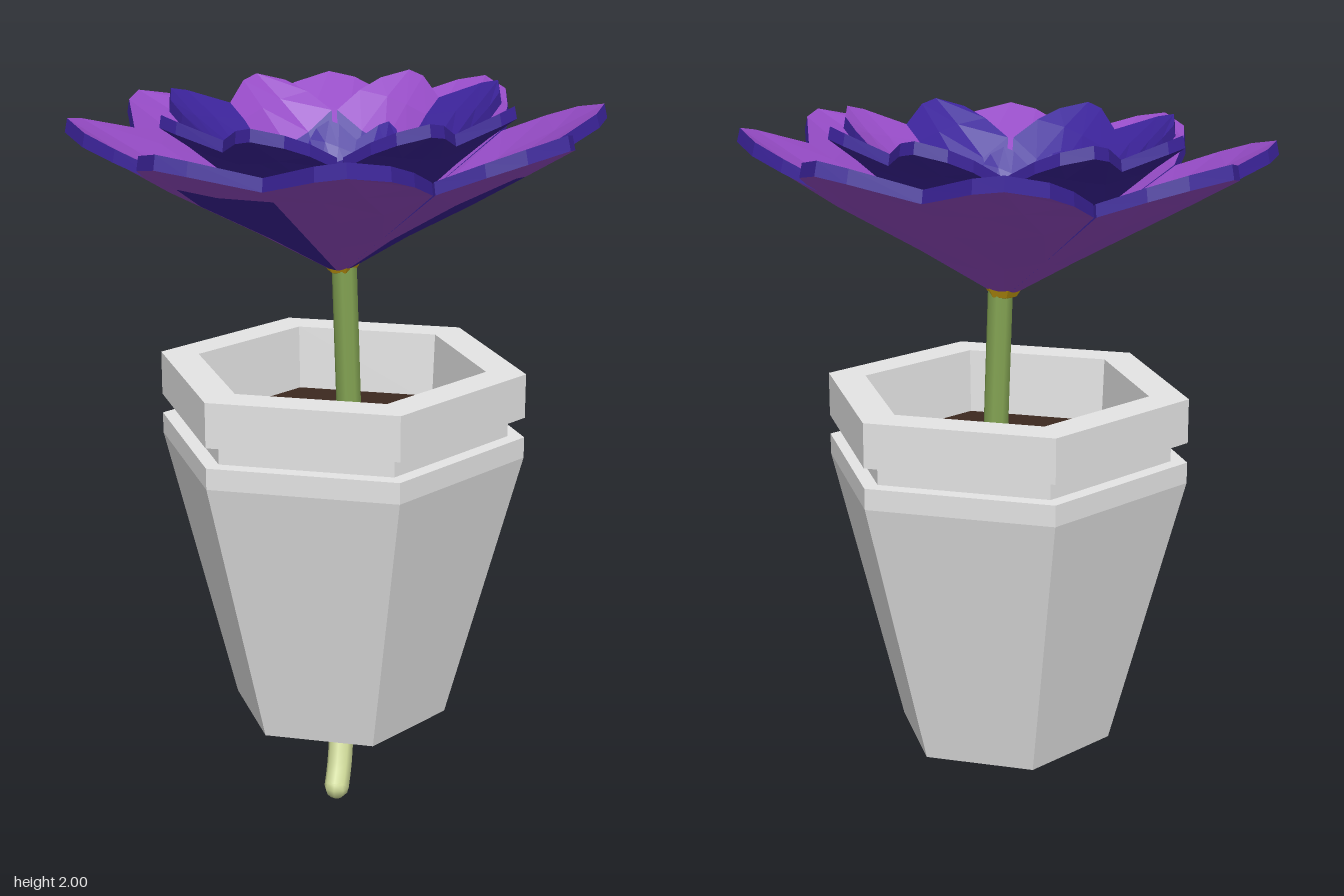
import * as THREE from 'three';

const mat = (name, color, side = THREE.FrontSide) => {
  const m = new THREE.MeshStandardMaterial({ color, side });
  m.name = name;
  return m;
};

// Split shared vertices so every facet has its own normal
function faceted(geometry) {
  const g = geometry.index ? geometry.toNonIndexed() : geometry;
  g.computeVertexNormals();
  return g;
}

function part(parent, name, geometry, material) {
  const mesh = new THREE.Mesh(geometry, material);
  mesh.name = name;
  parent.add(mesh);
  return mesh;
}

// Half outline of a heart-shaped petal, rows from base to tip: [outward, sideways]
const HALF_ROWS = [
  [[0.03, 0], [0.03, 0.01], [0.03, 0.02], [0.025, 0.03]],
  [[0.20, 0], [0.20, 0.07], [0.19, 0.13], [0.18, 0.18]],
  [[0.41, 0], [0.41, 0.13], [0.40, 0.25], [0.38, 0.375]],
  [[0.53, 0], [0.56, 0.14], [0.56, 0.25], [0.51, 0.365]],
  [[0.61, 0], [0.695, 0.165], [0.70, 0.25], [0.61, 0.335]],
];

// Two-lobed petal, steep at first and flatter at the tips.
// Groups: 0 body, 1 purple lobe tips, 2 indigo rim and underside patch
function petalGeometry({ scale, width, baseY, slope, tipSlope }, [tipNeg, tipPos], patched) {
  const bend = 0.56 * scale;
  const point = ([out, side], r, c) => {
    const dish = r > 1 && r < 4 && (c === 1 || c === 2) ? 0.015 * scale : 0;
    const rho = Math.hypot(out, side) * scale;
    const y = baseY + slope * Math.min(rho, bend) + tipSlope * Math.max(rho - bend, 0);
    return [side * scale * width, y - dish, out * scale];
  };
  const top = HALF_ROWS.map((row, r) => [
    ...row.slice(1).map(([o, s], i) => point([o, -s], r, i + 1)).reverse(),
    ...row.map((p, i) => point(p, r, i)),
  ]);
  // Underside, thicker towards the tip
  const drop = ([x, y, z]) => [x * 1.012, y - 0.02 - 0.025 * Math.hypot(x, z), z * 1.012];
  const faces = [[], [], []];
  const quad = (group, a, b, c, d) => faces[group].push(...a, ...b, ...c, ...a, ...c, ...d);

  const rows = top.length, cols = top[0].length;
  for (let r = 0; r < rows - 1; r++) {
    for (let c = 0; c < cols - 1; c++) {
      const a = top[r][c], b = top[r + 1][c], e = top[r + 1][c + 1], d = top[r][c + 1];
      quad(r >= (c >= 3 ? tipPos : tipNeg) ? 1 : 0, a, b, e, d);
      const inPatch = patched && r < 3 && (c === 1 || c === 2);
      quad(inPatch ? 2 : 0, drop(d), drop(e), drop(b), drop(a));
    }
  }
  // Rim runs up one side, across the lobes and down the other side
  const edge = [
    ...top.map(row => row[0]),
    ...top[rows - 1].slice(1),
    ...top.slice(0, -1).map(row => row[cols - 1]).reverse(),
  ];
  for (let i = 0; i < edge.length - 1; i++) {
    quad(2, edge[i], drop(edge[i]), drop(edge[i + 1]), edge[i + 1]);
  }

  const g = new THREE.BufferGeometry();
  g.setAttribute('position', new THREE.Float32BufferAttribute(faces.flat(), 3));
  let start = 0;
  faces.forEach((list, i) => {
    const count = list.length / 3;
    if (count) g.addGroup(start, count, i);
    start += count;
  });
  return faceted(g);
}

export function createModel() {
  const stone = mat('pot grey', 0xe5e5e5);
  const earth = mat('soil brown', 0x3c291f);
  const green = mat('stem green', 0x84a453);
  const pale = mat('root pale green', 0xccd796);
  const gold = mat('centre yellow', 0xd0a412);
  const purple = mat('petal purple', 0x954bc5, THREE.DoubleSide);
  const indigo = mat('petal indigo', 0x3b2399, THREE.DoubleSide);

  const model = new THREE.Group();
  model.name = 'pottedFlower';

  // Six-sided pot with a groove below the rim and a hollow top
  const profile = [
    [0, 0.197], [0.315, 0.197], [0.527, 1.0], [0.527, 1.06], [0.48, 1.06], [0.48, 1.117],
    [0.527, 1.117], [0.527, 1.243], [0.415, 1.243], [0.405, 1.03],
  ].map(([x, y]) => new THREE.Vector2(x, y));
  part(model, 'pot', faceted(new THREE.LatheGeometry(profile, 6, Math.PI / 6)), stone).position.x = 0.006;

  const soil = part(model, 'soil',
    faceted(new THREE.CylinderGeometry(0.407, 0.407, 0.03, 6, 1, false, Math.PI / 6)), earth);
  soil.position.set(0.006, 1.04, 0);

  // Stem, leaning slightly
  const stemPath = new THREE.LineCurve3(
    new THREE.Vector3(0.03, 1.0, -0.022), new THREE.Vector3(0.014, 1.54, -0.013));
  part(model, 'stem', new THREE.TubeGeometry(stemPath, 1, 0.036, 8), green);

  // Root poking out under the pot, with a rounded tip
  const root = new THREE.Group();
  root.name = 'root';
  model.add(root);
  const bends = [[0.04, 0.27, 0.1], [0.046, 0.17, 0.157], [0.05, 0.085, 0.205], [0.05, 0.04, 0.238]]
    .map(p => new THREE.Vector3(...p));
  part(root, 'rootStalk', new THREE.TubeGeometry(new THREE.CatmullRomCurve3(bends), 8, 0.036, 8), pale);
  const tip = part(root, 'rootTip', new THREE.SphereGeometry(0.036, 8, 6), pale);
  tip.position.copy(bends[3]);

  // Flower head, tilted a little: three rings of four heart-shaped petals
  const flower = new THREE.Group();
  flower.name = 'flower';
  flower.position.set(0.004, 1.5, -0.008);
  flower.rotation.set(0.018, 0, 0.018);
  model.add(flower);

  // tips: first purple row on each lobe (4 = none); patches: indigo underside
  const none = [4, 4];
  const rings = [
    { name: 'outerPetal', scale: 0.98, width: 1, baseY: 0.016, slope: 0.63, tipSlope: 0.5, turn: 175,
      tips: [none, none, none, none], patches: [false, false, true, true], body: purple },
    { name: 'middlePetal', scale: 0.69, width: 0.97, baseY: 0.025, slope: 1.0, tipSlope: 0.62, turn: 149,
      tips: [[4, 2], [2, 4], none, [4, 2]], patches: [], body: indigo },
    { name: 'innerPetal', scale: 0.4, width: 0.87, baseY: 0.03, slope: 1.25, tipSlope: 0.9, turn: 180,
      tips: [none, [4, 2], none, none], patches: [], body: indigo },
  ];
  for (const ring of rings) {
    ring.tips.forEach((tips, k) => {
      const g = petalGeometry(ring, tips, ring.patches[k]);
      const petal = part(flower, ring.name, g, [ring.body, purple, indigo]);
      petal.rotation.y = THREE.MathUtils.degToRad(ring.turn + 90 * k);
    });
  }

  // Faceted six-sided centre
  const centre = part(flower, 'flowerCentre', faceted(new THREE.SphereGeometry(0.066, 6, 5)), gold);
  centre.position.set(0.003, 0.068, -0.006);
  centre.scale.y = 1.15;

  return model;
}
